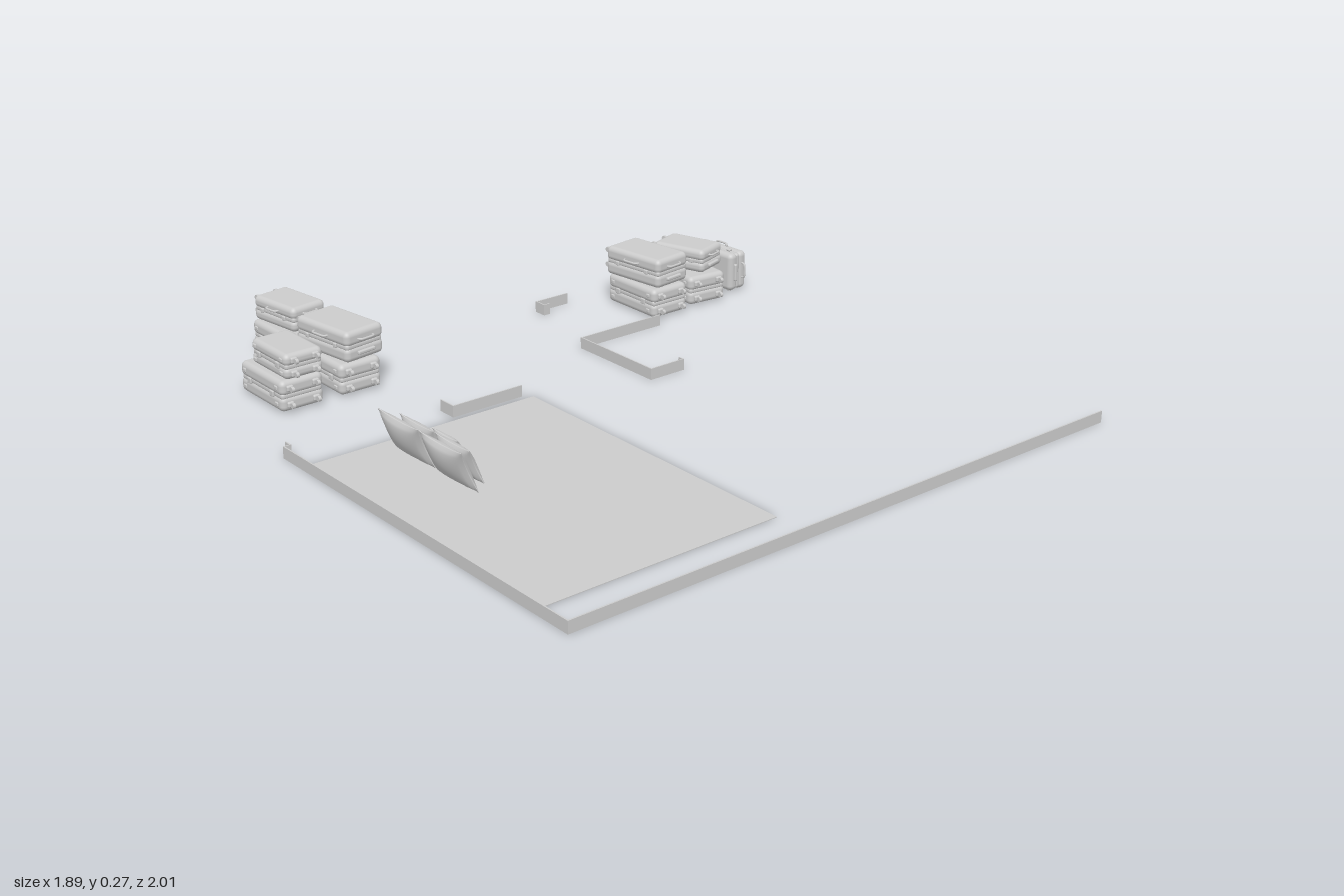
import * as THREE from 'three';
import { RoundedBoxGeometry } from 'three/addons/geometries/RoundedBoxGeometry.js';

const grey = new THREE.MeshStandardMaterial({ color: 0xcccccc, side: THREE.DoubleSide });

function add(parent, name, geometry, x = 0, y = 0, z = 0) {
  const mesh = new THREE.Mesh(geometry, grey);
  mesh.name = name;
  mesh.position.set(x, y, z);
  parent.add(mesh);
  return mesh;
}

// Thin skirting board following a floor path of [x, z] points
function skirting(parent, name, points) {
  const group = new THREE.Group();
  group.name = name;
  const height = 0.035, thick = 0.004;
  for (let i = 0; i < points.length - 1; i++) {
    const [ax, az] = points[i], [bx, bz] = points[i + 1];
    const geometry = new THREE.BoxGeometry(Math.abs(bx - ax) + thick, height, Math.abs(bz - az) + thick);
    add(group, 'skirtingBoard', geometry, (ax + bx) / 2, height / 2, (az + bz) / 2);
  }
  parent.add(group);
}

// Cushion: a box grid swelling in the middle, with pinched sides and pointed corners
function pillow(parent, name, w, h, depth, x, y, z) {
  const geometry = new THREE.BoxGeometry(2, 2, 2, 18, 18, 1);
  const p = geometry.attributes.position;
  for (let i = 0; i < p.count; i++) {
    const u = p.getX(i), v = p.getY(i);
    const swell = Math.pow(Math.max(0, (1 - u * u) * (1 - v * v)), 0.55);
    p.setXYZ(i,
      u * w / 2 * (1 - 0.1 * (1 - v * v)),
      v * h / 2 * (1 - 0.12 * (1 - u * u)),
      p.getZ(i) * (0.001 + depth / 2 * swell));
  }
  geometry.computeVertexNormals();
  const mesh = add(parent, name, geometry, x, y, z);
  mesh.rotation.set(-0.4, Math.PI / 2, 0, 'YXZ');
}

// Carry handle: a flattened arch standing out along +z, spanning x
function carryHandle(parent, name, span, x, y, z, turn) {
  const s = span / 2, out = 0.011;
  const curve = new THREE.CatmullRomCurve3([
    new THREE.Vector3(-s, 0, -0.003), new THREE.Vector3(-s * 0.85, 0, out * 0.8),
    new THREE.Vector3(0, 0, out), new THREE.Vector3(s * 0.85, 0, out * 0.8),
    new THREE.Vector3(s, 0, -0.003)]);
  const mesh = add(parent, name, new THREE.TubeGeometry(curve, 16, 0.0035, 8), x, y, z);
  mesh.rotation.y = turn;
}

// Suitcase lying flat: two shells, seam, wheels at +z, handles at -z and on the side
function suitcase(w, t, l) {
  const group = new THREE.Group();
  group.name = 'suitcase';
  const half = t / 2 - 0.002;
  for (const s of [-1, 1]) {
    add(group, 'shell', new RoundedBoxGeometry(w, half, l, 4, 0.016), 0, s * t / 4, 0);
    for (const sx of [-1, 1]) {
      const x = sx * (w / 2 - 0.028), y = s * t * 0.26;
      add(group, 'wheelHousing', new RoundedBoxGeometry(0.022, 0.018, 0.014, 2, 0.005), x, y, l / 2);
      add(group, 'wheelFork', new THREE.BoxGeometry(0.007, 0.007, 0.012), x, y, l / 2 + 0.008);
      const wheel = add(group, 'wheel', new THREE.CylinderGeometry(0.008, 0.008, 0.009, 16), x, y, l / 2 + 0.015);
      wheel.rotation.z = Math.PI / 2;
    }
  }
  add(group, 'seam', new RoundedBoxGeometry(w - 0.006, 0.022, l - 0.006, 3, 0.01));
  carryHandle(group, 'topHandle', w * 0.4, 0, t * 0.22, -l / 2, Math.PI);
  carryHandle(group, 'sideHandle', l * 0.26, w / 2, t * 0.22, 0, Math.PI / 2);
  // Pull handle grip, folded into the end
  add(group, 'pullHandle', new RoundedBoxGeometry(w * 0.45, 0.011, 0.012, 2, 0.004), 0, -t * 0.22, -l / 2 - 0.002);
  // Side feet and hinges bridging the seam
  for (const sz of [-1, 1]) {
    add(group, 'hinge', new RoundedBoxGeometry(0.007, 0.018, 0.02, 2, 0.003), -w / 2, 0, sz * l * 0.27);
    add(group, 'latch', new RoundedBoxGeometry(0.007, 0.014, 0.014, 2, 0.003), w / 2, 0, sz * l * 0.27);
    for (const s of [-1, 1]) {
      add(group, 'sideFoot', new RoundedBoxGeometry(0.007, 0.012, 0.016, 2, 0.003), -w / 2, s * t * 0.26, sz * l * 0.38);
    }
  }
  return group;
}

export function createModel() {
  const model = new THREE.Group();
  model.name = 'bedroomFurnishings';

  // Skirting boards
  skirting(model, 'mainSkirting', [[-0.923, -0.253], [-0.923, -0.23], [-0.943, -0.23], [-0.943, 0.998], [0.942, 0.998]]);
  skirting(model, 'doorSkirting', [[-0.432, -0.23], [-0.432, -0.172], [-0.195, -0.172]]);
  skirting(model, 'cornerSkirting', [[0.487, -0.36], [0.177, -0.36], [0.177, -0.033], [0.3, -0.033], [0.3, -0.05]]);
  skirting(model, 'smallSkirting', [[0.385, -0.7], [0.264, -0.7], [0.264, -0.66], [0.284, -0.66]]);

  // Rug
  add(model, 'rug', new THREE.BoxGeometry(0.775, 0.002, 1.012), -0.557, 0.001, 0.358);

  // Pillows leaning back in three rows
  const pillows = new THREE.Group();
  pillows.name = 'pillows';
  for (const s of [-1, 1]) {
    pillow(pillows, 'backPillow', 0.176, 0.127, 0.045, -0.874, 0.21, 0.355 + s * 0.091);
    pillow(pillows, 'middlePillow', 0.145, 0.106, 0.04, -0.833, 0.203, 0.355 + s * 0.077);
  }
  pillow(pillows, 'frontPillow', 0.108, 0.088, 0.034, -0.802, 0.194, 0.352);
  model.add(pillows);

  // Suitcases: [size, x, base y, z, turn in degrees]
  const sizes = { large: [0.14, 0.095, 0.228], small: [0.126, 0.078, 0.188] };
  const cases = [
    ['large', -0.527, 0.002, -0.876, 0], ['small', -0.522, 0.1, -0.889, 188],
    ['large', -0.725, 0.002, -0.603, 0], ['small', -0.72, 0.1, -0.573, 0],
    ['large', -0.53, 0.002, -0.603, 0], ['large', -0.528, 0.1, -0.6, 188],
    ['large', 0.573, 0.002, -0.52, 0], ['large', 0.57, 0.1, -0.52, 187],
    ['large', 0.752, 0.002, -0.53, -6], ['small', 0.752, 0.1, -0.53, 198],
  ];
  const luggage = new THREE.Group();
  luggage.name = 'luggage';
  for (const [size, x, y, z, turn] of cases) {
    const item = suitcase(...sizes[size]);
    item.position.set(x, y + sizes[size][1] / 2, z);
    item.rotation.y = THREE.MathUtils.degToRad(turn);
    luggage.add(item);
  }

  // Small suitcase standing on its long side, carry handle up
  const standing = suitcase(...sizes.small);
  standing.name = 'standingSuitcase';
  standing.position.set(0.89, 0.067, -0.535);
  standing.rotation.set(0, THREE.MathUtils.degToRad(184), Math.PI / 2, 'YXZ');
  luggage.add(standing);
  model.add(luggage);

  return model;
}
